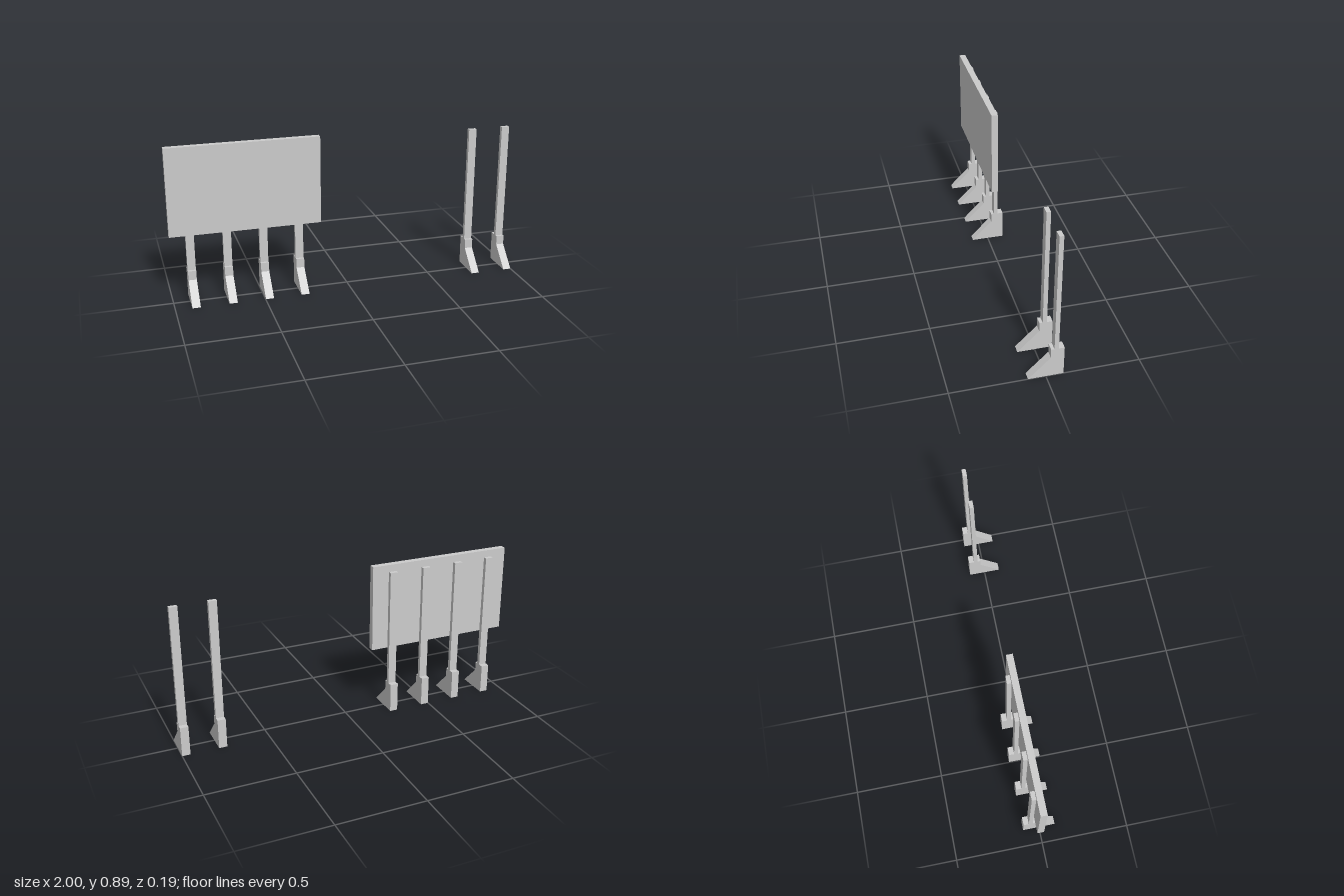
import * as THREE from 'three';

const WIDTH = 0.046;

export function createModel() {
  const model = new THREE.Group();
  const material = new THREE.MeshStandardMaterial({ color: 0xcccccc, flatShading: true });

  const add = (parent, name, geometry, x, y, z) => {
    const mesh = new THREE.Mesh(geometry, material);
    mesh.name = name;
    mesh.position.set(x, y, z);
    parent.add(mesh);
  };

  // Foot side profile as (z, y): upright heel block with a sloping toe
  const profile = new THREE.Shape([
    [0.093, 0], [-0.023, 0.117], [-0.023, 0.17], [-0.093, 0.17], [-0.093, 0],
  ].map(([z, y]) => new THREE.Vector2(-z, y)));
  const footGeometry = new THREE.ExtrudeGeometry(profile, { depth: WIDTH, bevelEnabled: false });
  footGeometry.translate(0, 0, -WIDTH / 2).rotateY(Math.PI / 2);

  const postGeometry = new THREE.BoxGeometry(WIDTH, 0.68, 0.023);

  // Four posts carry the board, two stand free
  for (const x of [-0.885, -0.68, -0.475, -0.27, 0.771, 0.977]) {
    const support = new THREE.Group();
    support.name = 'support';
    support.position.x = x;
    add(support, 'foot', footGeometry, 0, 0, 0);
    add(support, 'post', postGeometry, 0, 0.508, -0.0515);
    model.add(support);
  }

  // Flat panel on the front of the posts
  add(model, 'board', new THREE.BoxGeometry(0.85, 0.5, 0.036), -0.575, 0.639, -0.022);

  return model;
}
